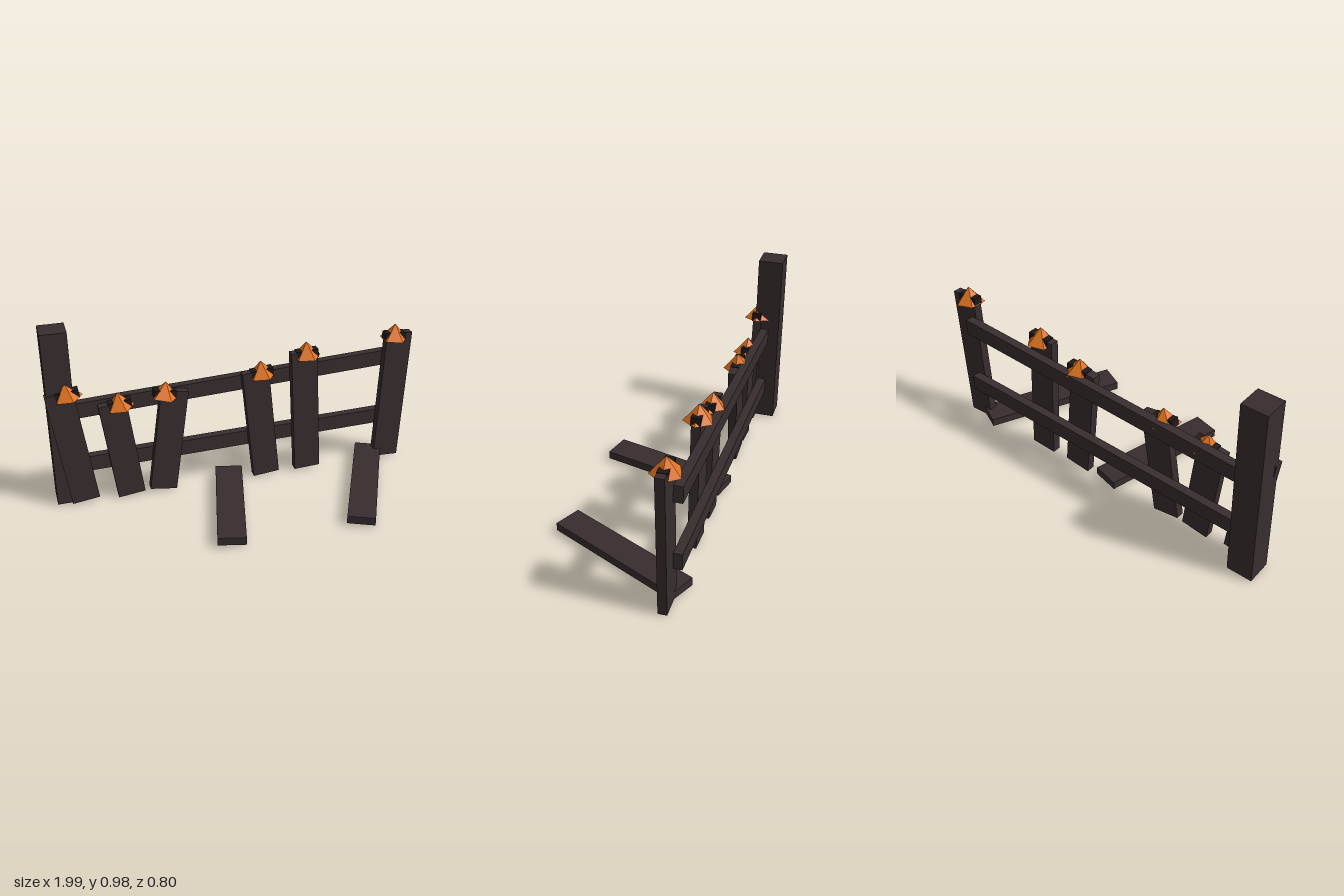
import * as THREE from 'three';

export function createModel() {
  const group = new THREE.Group();
  const mat = (name, color) => {
    const m = new THREE.MeshStandardMaterial({ color, flatShading: true });
    m.name = name;
    return m;
  };
  const wood = mat('dark wood', 0x382d2f);
  const char = mat('charred wood', 0x1e1819);
  const ember = mat('orange ember', 0xe0731f);

  const add = (name, geometry, material, x, y, z) => {
    const mesh = new THREE.Mesh(geometry, material);
    mesh.name = name;
    mesh.position.set(x, y, z);
    group.add(mesh);
    return mesh;
  };

  // Corner post
  add('cornerPost', new THREE.BoxGeometry(0.135, 0.975, 0.132), wood, -0.917, 0.497, -0.336);

  // Sloping rails: [left height, right height]
  for (const [y0, y1] of [[0.211, 0.255], [0.53, 0.617]]) {
    const dx = 0.875 + 0.92, dy = y1 - y0;
    const rail = add('rail', new THREE.BoxGeometry(Math.hypot(dx, dy), 0.085, 0.045), wood,
      (0.875 - 0.92) / 2, (y0 + y1) / 2, -0.322);
    rail.rotation.z = Math.atan2(dy, dx);
  }

  // Leaning pickets: [bottom x, bottom y, top x, top y, tip x, tip y]
  const pickets = [
    [-0.834, 0.018, -0.922, 0.66, -0.888, 0.714],
    [-0.588, 0.013, -0.658, 0.567, -0.627, 0.623],
    [-0.414, 0.016, -0.33, 0.596, -0.371, 0.65],
    [0.171, 0.013, 0.107, 0.647, 0.139, 0.7],
    [0.412, 0.013, 0.377, 0.727, 0.393, 0.778],
    [0.888, 0.013, 0.922, 0.772, 0.902, 0.82],
  ];
  const Z = -0.278;
  const coneHeight = 0.086;
  const cone = new THREE.ConeGeometry(0.076, coneHeight, 5).rotateY(Math.PI / 2);
  const cap = new THREE.BoxGeometry(0.12, 0.045, 0.048);
  for (const [bx, by, tx, ty, px, py] of pickets) {
    const dx = tx - bx, dy = ty - by, lean = Math.atan2(-dx, dy);
    const picket = add('picket', new THREE.BoxGeometry(0.146, Math.hypot(dx, dy), 0.045), wood,
      (bx + tx) / 2, (by + ty) / 2, Z);
    // Ember tip and charred end follow the lean of the picket
    const below = (d) => [px + Math.sin(lean) * d, py - Math.cos(lean) * d, Z];
    const tip = add('emberTip', cone, ember, ...below(coneHeight / 2));
    const end = add('charredEnd', cap, char, ...below(0.067));
    for (const m of [picket, tip, end]) m.rotation.z = lean;
  }

  // Fallen boards on the ground: [near x, near z, far x, far z]
  for (const [x0, z0, x1, z1] of [[-0.197, 0.353, -0.033, -0.312], [0.486, 0.368, 0.808, -0.325]]) {
    const dx = x1 - x0, dz = z1 - z0;
    const board = add('fallenBoard', new THREE.BoxGeometry(0.146, 0.043, Math.hypot(dx, dz)), wood,
      (x0 + x1) / 2, 0.04, (z0 + z1) / 2);
    board.rotation.y = Math.atan2(dx, dz);
  }

  return group;
}
